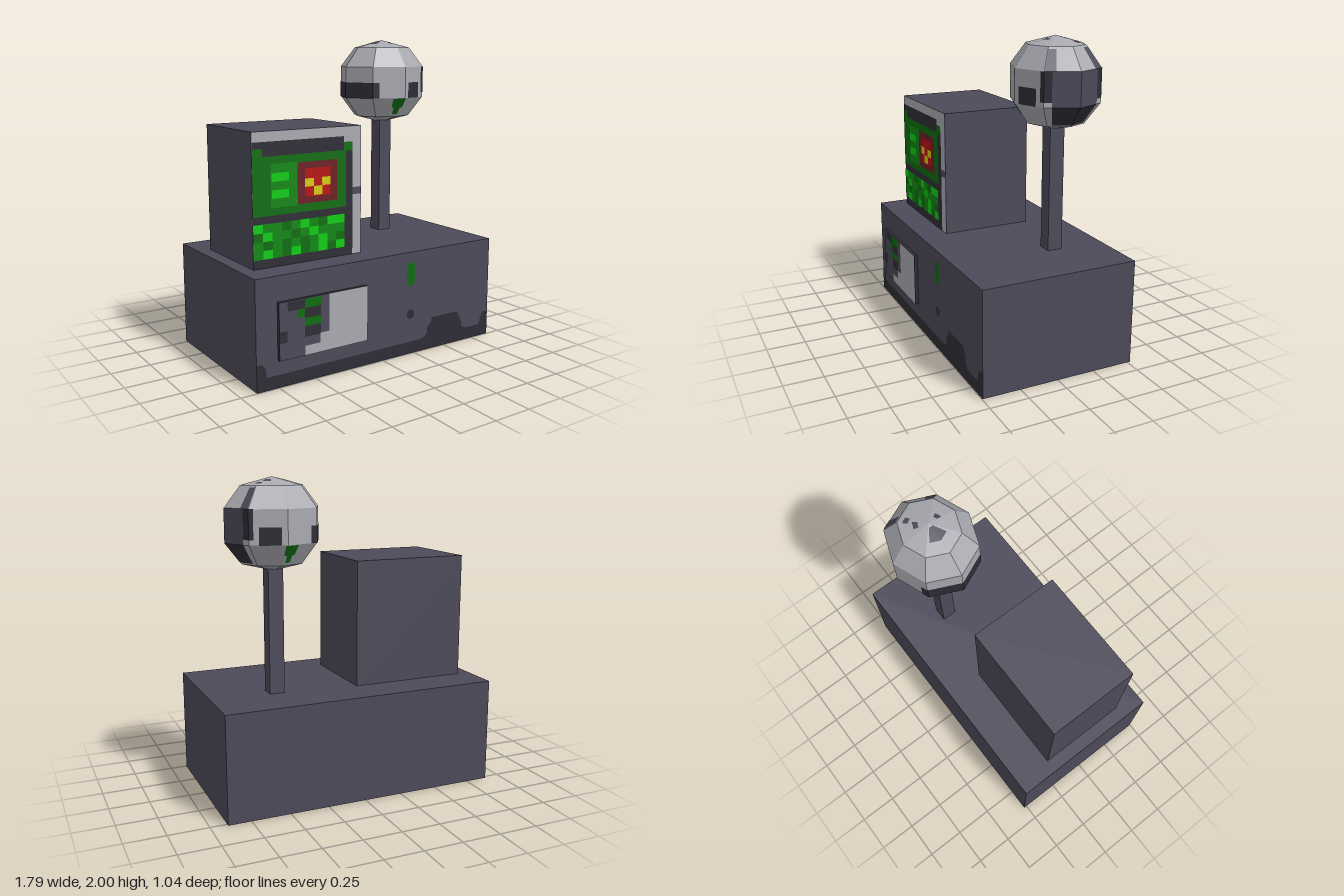
import * as THREE from 'three';
import { mergeGeometries } from 'three/addons/utils/BufferGeometryUtils.js';

const paint = (name, hex) => {
  const m = new THREE.MeshStandardMaterial({ color: hex });
  m.name = name;
  return m;
};

export function createModel() {
  const casing = paint('slate casing', 0x4c4a59);
  const dark = paint('charcoal', 0x2e2d36);
  const grey = paint('light grey', 0xa9aab0);
  const greenDark = paint('dark green', 0x0f6c10);
  const greenMid = paint('mid green', 0x108814);
  const greenBright = paint('bright green', 0x10cc14);
  const redDark = paint('dark red', 0x6b2026);
  const red = paint('red', 0xb81313);
  const yellow = paint('yellow', 0xd6ca14);

  const root = new THREE.Group();
  root.name = 'console';

  const add = (parent, name, geometry, material) => {
    const mesh = new THREE.Mesh(geometry, material);
    mesh.name = name;
    parent.add(mesh);
    return mesh;
  };
  const box = (name, material, [x0, x1], [y0, y1], [z0, z1]) => {
    const g = new THREE.BoxGeometry(x1 - x0, y1 - y0, z1 - z0);
    g.translate((x0 + x1) / 2, (y0 + y1) / 2, (z0 + z1) / 2);
    return add(root, name, g, material);
  };
  // painted rectangles [x0, y0, x1, y1] facing the front; each layer sits a hair further out
  const rects = (name, material, z, layer, list) => {
    const faces = list.map(([x0, y0, x1, y1]) =>
      new THREE.PlaneGeometry(x1 - x0, y1 - y0)
        .translate((x0 + x1) / 2, (y0 + y1) / 2, z + layer * 0.0015));
    return add(root, name, mergeGeometries(faces), material);
  };

  // base cabinet, with a dark underside
  box('baseCabinet', [casing, casing, casing, dark, casing, casing],
    [-0.895, 0.895], [0, 0.675], [-0.52, 0.495]);
  const skirt = new THREE.Shape([
    [-0.895, 0], [0.895, 0], [0.895, 0.165], [0.85, 0.165], [0.83, 0.13], [0.83, 0.1], [0.81, 0.08],
    [0.7, 0.08], [0.66, 0.1], [0.655, 0.14], [0.62, 0.21], [0.4, 0.21], [0.39, 0.18], [0.36, 0.15],
    [0.36, 0.12], [0.34, 0.09], [0.3, 0.08], [-0.83, 0.08], [-0.835, 0.13], [-0.86, 0.165], [-0.895, 0.165],
  ].map(([x, y]) => new THREE.Vector2(x, y)));
  add(root, 'baseSkirt', new THREE.ShapeGeometry(skirt).translate(0, 0, 0.4965), dark);
  add(root, 'buttonHole', new THREE.CircleGeometry(0.033, 8).rotateZ(Math.PI / 8).translate(0.22, 0.265, 0.4965), dark);
  const slot = new THREE.Shape([[0.2, 0.455], [0.235, 0.455], [0.25, 0.48], [0.25, 0.585], [0.235, 0.605],
    [0.2, 0.605], [0.188, 0.585], [0.188, 0.475]].map(([x, y]) => new THREE.Vector2(x, y)));
  add(root, 'indicatorSlot', new THREE.ShapeGeometry(slot).translate(0, 0, 0.4965), greenDark);

  // raised hatch on the base
  const hatchZ = 0.517;
  box('hatch', dark, [-0.755, -0.135], [0.17, 0.52], [0.495, hatchZ]);
  rects('hatchFace', casing, hatchZ, 1, [[-0.755, 0.17, -0.135, 0.52]]);
  rects('hatchPlate', grey, hatchZ, 2, [
    [-0.415, 0.17, -0.135, 0.52], [-0.48, 0.17, -0.415, 0.29], [-0.585, 0.17, -0.48, 0.23]]);
  rects('hatchShadowMarks', dark, hatchZ, 2, [
    [-0.7, 0.46, -0.585, 0.515], [-0.755, 0.275, -0.705, 0.345],
    [-0.585, 0.4, -0.475, 0.46], [-0.585, 0.285, -0.475, 0.35]]);
  rects('hatchGreenMarks', greenDark, hatchZ, 2, [
    [-0.585, 0.46, -0.475, 0.515], [-0.585, 0.35, -0.475, 0.4], [-0.64, 0.41, -0.585, 0.46]]);

  // monitor housing and its painted front
  const screenZ = 0.318;
  box('monitorHousing', casing, [-0.81, -0.05], [0.675, 1.48], [-0.275, screenZ]);
  rects('monitorBezel', grey, screenZ, 1, [[-0.81, 0.675, -0.05, 1.48]]);
  rects('bezelNotch', casing, screenZ, 2, [[-0.115, 1.055, -0.05, 1.1]]);
  rects('screenFrame', dark, screenZ, 2, [[-0.81, 0.675, -0.115, 1.33], [-0.81, 1.33, -0.18, 1.42]]);
  rects('screen', greenDark, screenZ, 3, [
    [-0.81, 0.985, -0.165, 1.335], [-0.81, 1.335, -0.745, 1.38], [-0.18, 1.33, -0.115, 1.385],
    [-0.81, 0.73, -0.175, 0.94]]);
  rects('statusPanel', greenMid, screenZ, 4, [[-0.69, 1.03, -0.51, 1.29]]);
  rects('statusBars', greenBright, screenZ, 5, [[-0.685, 1.185, -0.57, 1.235], [-0.685, 1.085, -0.57, 1.135]]);
  rects('alertPanel', redDark, screenZ, 4, [[-0.515, 1.035, -0.23, 1.285]]);
  rects('alertLight', red, screenZ, 5, [[-0.46, 1.075, -0.28, 1.245]]);
  rects('alertSymbol', yellow, screenZ, 6, [
    [-0.46, 1.135, -0.4, 1.185], [-0.34, 1.135, -0.28, 1.185], [-0.4, 1.08, -0.34, 1.135]]);

  // lower display mosaic: 1 = mid green, 2 = bright green
  const mosaic = ['2110121022', '0211012111', '1010101210', '1210201202'];
  const cells = { 1: [], 2: [] };
  mosaic.forEach((row, r) => [...row].forEach((c, i) => {
    const x = -0.81 + i * 0.0635, y = 0.94 - r * 0.0525;
    if (c !== '0') cells[c].push([x, y - 0.0525, x + 0.0635, y]);
  }));
  rects('mosaicMid', greenMid, screenZ, 4, cells[1]);
  rects('mosaicBright', greenBright, screenZ, 4, cells[2]);

  // mast
  box('mast', casing, [0.425, 0.52], [0.675, 1.5], [-0.227, -0.13]);

  // faceted globe: u runs 0..8 around (0 = +x, 2 = front), v runs 0..5 from top to bottom
  const globe = new THREE.Group();
  globe.name = 'globe';
  globe.position.set(0.473, 1.719, -0.18);
  root.add(globe);
  const ringR = [0, 0.66, 1, 1, 0.66, 0];
  const ringY = [0.281, 0.232, 0.103, -0.103, -0.232, -0.281];
  const corner = (i, j) => new THREE.Vector3(
    0.298 * ringR[j] * Math.cos(i * Math.PI / 4), ringY[j], 0.27 * ringR[j] * Math.sin(i * Math.PI / 4));
  const cuts = (a, b) => {
    const out = [a];
    for (let k = Math.floor(a) + 1; k < b; k++) out.push(k);
    return [...out, b];
  };
  const globePatch = (name, material, lift, list, mirrored = false) => {
    const pos = [];
    const all = mirrored ? list.concat(list.map(([a, b, c, d]) => [-b, -a, c, d])) : list;
    for (const [u0, u1, v0, v1] of all) {
      const us = cuts(u0, u1), vs = cuts(v0, v1);
      for (let i = 0; i + 1 < us.length; i++) for (let j = 0; j + 1 < vs.length; j++) {
        const ci = Math.floor((us[i] + us[i + 1]) / 2), cj = Math.floor((vs[j] + vs[j + 1]) / 2);
        const at = (u, v) => corner(ci, cj).lerp(corner(ci + 1, cj), u - ci)
          .lerp(corner(ci, cj + 1).lerp(corner(ci + 1, cj + 1), u - ci), v - cj).multiplyScalar(lift);
        const a = at(us[i], vs[j]), b = at(us[i + 1], vs[j]);
        const c = at(us[i + 1], vs[j + 1]), d = at(us[i], vs[j + 1]);
        if (a.distanceTo(b) > 1e-5) pos.push(...a, ...b, ...c);
        if (c.distanceTo(d) > 1e-5) pos.push(...a, ...c, ...d);
      }
    }
    const g = new THREE.BufferGeometry();
    g.setAttribute('position', new THREE.Float32BufferAttribute(pos, 3));
    g.computeVertexNormals();
    add(globe, name, g, material);
  };
  globePatch('globeShell', grey, 1, [[0, 8, 0, 5]]);
  globePatch('globeSidePanel', casing, 1.006, [[-0.78, 0.78, 2, 3]]);
  globePatch('globeSideStrips', casing, 1.006, [[0.68, 0.98, 1.1, 2]], true);
  globePatch('globeSideUnderPanel', dark, 1.006, [[-0.78, 0.78, 3, 3.9]]);
  globePatch('globeDarkPatches', dark, 1.006, [
    [0.78, 1.12, 2, 2.85], [1.26, 1.84, 2.5, 3], [2.8, 4, 2.5, 3]], true);
  globePatch('globeGreenMarks', greenDark, 1.006, [[1.95, 2.36, 3.02, 3.5], [2.05, 2.27, 3.5, 3.85]], true);
  globePatch('globeTopSpots', casing, 1.006, [
    [3.2, 4.8, 0.12, 0.58], [6.45, 7.1, 0.35, 0.52], [1.4, 1.95, 0.33, 0.5], [6.95, 7.3, 0.65, 0.82]]);

  return root;
}
